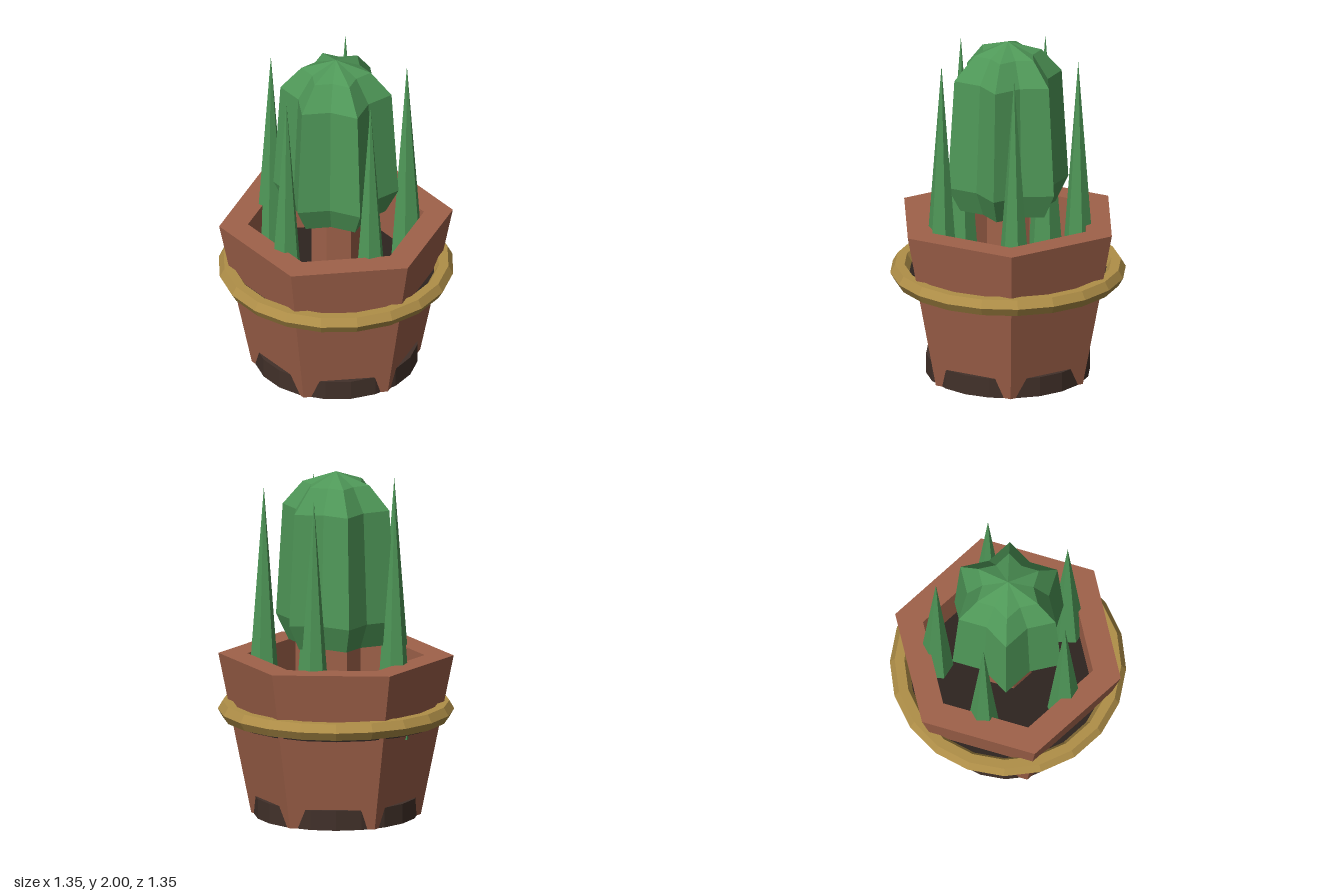
import * as THREE from 'three';

const material = (color, side = THREE.FrontSide) =>
  new THREE.MeshStandardMaterial({ color, side, flatShading: true });

const TURN = -Math.PI / 12; // the pot's hexagon is turned 15 degrees

function add(group, name, geometry, mat, x = 0, y = 0, z = 0) {
  const mesh = new THREE.Mesh(geometry, mat);
  mesh.name = name;
  mesh.position.set(x, y, z);
  group.add(mesh);
  return mesh;
}

// Revolved profile of [radius, height] pairs
function lathe(profile, sides, start = 0) {
  const points = profile.map(([r, y]) => new THREE.Vector2(r, y));
  return new THREE.LatheGeometry(points, sides, start);
}

// Twelve-sided lathe with every other rib pulled inwards to a six-pointed star
function ribbedBody(profile, valley) {
  const geometry = lathe(profile, 12);
  const pos = geometry.attributes.position;
  for (let i = 0; i < pos.count; i++) {
    const rib = Math.floor(i / profile.length);
    if (rib % 2 === 0) {
      pos.setX(i, pos.getX(i) * valley);
      pos.setZ(i, pos.getZ(i) * valley);
    }
  }
  geometry.computeVertexNormals();
  return geometry;
}

export function createModel() {
  const model = new THREE.Group();
  model.name = 'pottedCactus';

  const clay = material(0xa0624a);
  const soilMat = material(0x2e2420);
  const baseMat = material(0x42312a);
  const gold = material(0xb08f48);
  const green = material(0x4f9858);

  // Hexagonal pot with a thick rim and hollow inside
  add(model, 'pot', lathe([
    [0, 0], [0.485, 0], [0.673, 0.93], [0.507, 0.93], [0.507, 0.56],
  ], 6, TURN), clay);

  // Round foot and soil disc, both showing a little through the flat pot sides
  add(model, 'foot', new THREE.CylinderGeometry(0.47, 0.47, 0.115, 20), baseMat, 0, 0.0575, 0);
  add(model, 'soil', new THREE.CylinderGeometry(0.59, 0.59, 0.055, 20), soilMat, 0, 0.5725, 0);

  // Band around the pot
  const band = add(model, 'band', new THREE.TorusGeometry(0.62, 0.055, 6, 20), gold, 0, 0.613, 0);
  band.rotation.x = Math.PI / 2;

  // Stem holding the cactus above the soil
  add(model, 'stem', new THREE.CylinderGeometry(0.14, 0.14, 0.44, 6, 1, false, TURN), clay, 0, 0.8, 0);

  // Star-shaped cactus body
  add(model, 'cactusBody', ribbedBody([
    [0, 1.0], [0.285, 1.0], [0.36, 1.145], [0.32, 1.79], [0.2, 1.93], [0, 2.0],
  ], 0.73), green);

  // Five tall spikes in a ring
  for (let i = 0; i < 5; i++) {
    const a = (i / 5) * Math.PI * 2;
    add(model, 'spike', new THREE.ConeGeometry(0.108, 1.41, 6), green,
      Math.sin(a) * 0.412, 1.205, -Math.cos(a) * 0.412);
  }

  return model;
}
